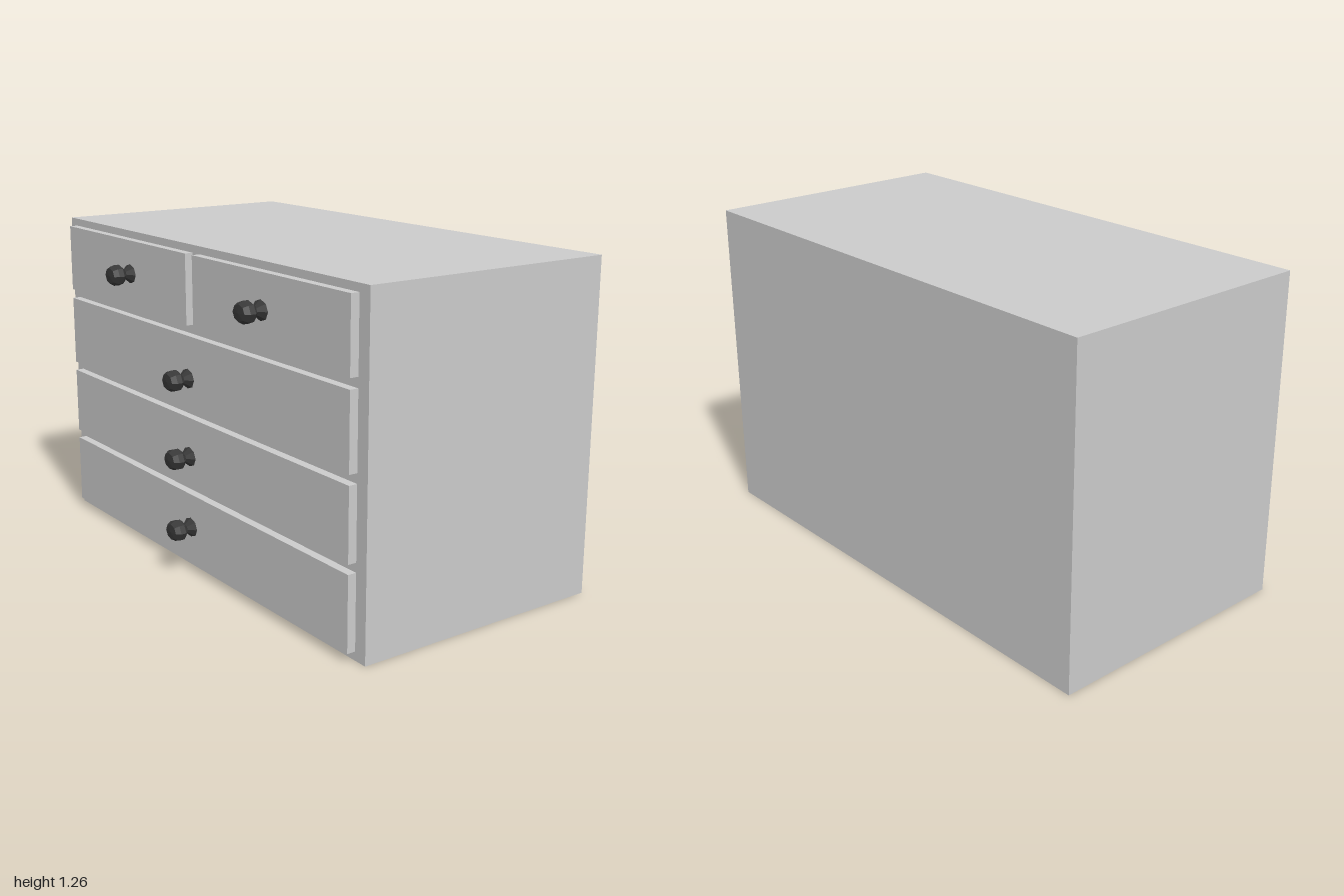
import * as THREE from 'three';

export function createModel() {
  const model = new THREE.Group();
  const grey = new THREE.MeshStandardMaterial({ color: 0xcccccc, flatShading: true });
  const dark = new THREE.MeshStandardMaterial({ color: 0x383838, flatShading: true });

  const addBox = (name, x0, x1, y0, y1, z0, z1) => {
    const mesh = new THREE.Mesh(new THREE.BoxGeometry(x1 - x0, y1 - y0, z1 - z0), grey);
    mesh.position.set((x0 + x1) / 2, (y0 + y1) / 2, (z0 + z1) / 2);
    mesh.name = name;
    model.add(mesh);
  };

  // Cabinet
  addBox('cabinet', -1, 1, 0, 1.257, -0.573, 0.45);

  // Knob: flared foot, narrow neck and rounded head, turned to point along +z
  const profile = [[0, 0], [0.046, 0], [0.019, 0.027], [0.034, 0.036], [0.048, 0.05],
    [0.048, 0.071], [0.036, 0.089], [0, 0.092]].map(([r, h]) => new THREE.Vector2(r, h));
  const knobGeometry = new THREE.LatheGeometry(profile, 8, Math.PI / 2);
  knobGeometry.rotateX(Math.PI / 2);
  knobGeometry.scale(1, 0.84, 1);

  // Drawer fronts: x range, y range, knob x, knob y
  const drawers = [
    ['topRightDrawer', -0.952, -0.027, 0.962, 1.228, -0.445, 1.097],
    ['topLeftDrawer', 0.02, 0.947, 0.962, 1.228, 0.457, 1.097],
    ['upperDrawer', -0.952, 0.947, 0.648, 0.925, -0.027, 0.762],
    ['middleDrawer', -0.952, 0.947, 0.345, 0.612, -0.027, 0.459],
    ['bottomDrawer', -0.952, 0.947, 0.033, 0.31, -0.027, 0.177],
  ];
  for (const [name, x0, x1, y0, y1, kx, ky] of drawers) {
    addBox(name, x0, x1, y0, y1, 0.44, 0.483);
    const knob = new THREE.Mesh(knobGeometry, dark);
    knob.position.set(kx, ky, 0.482);
    knob.name = name + 'Knob';
    model.add(knob);
  }
  return model;
}
